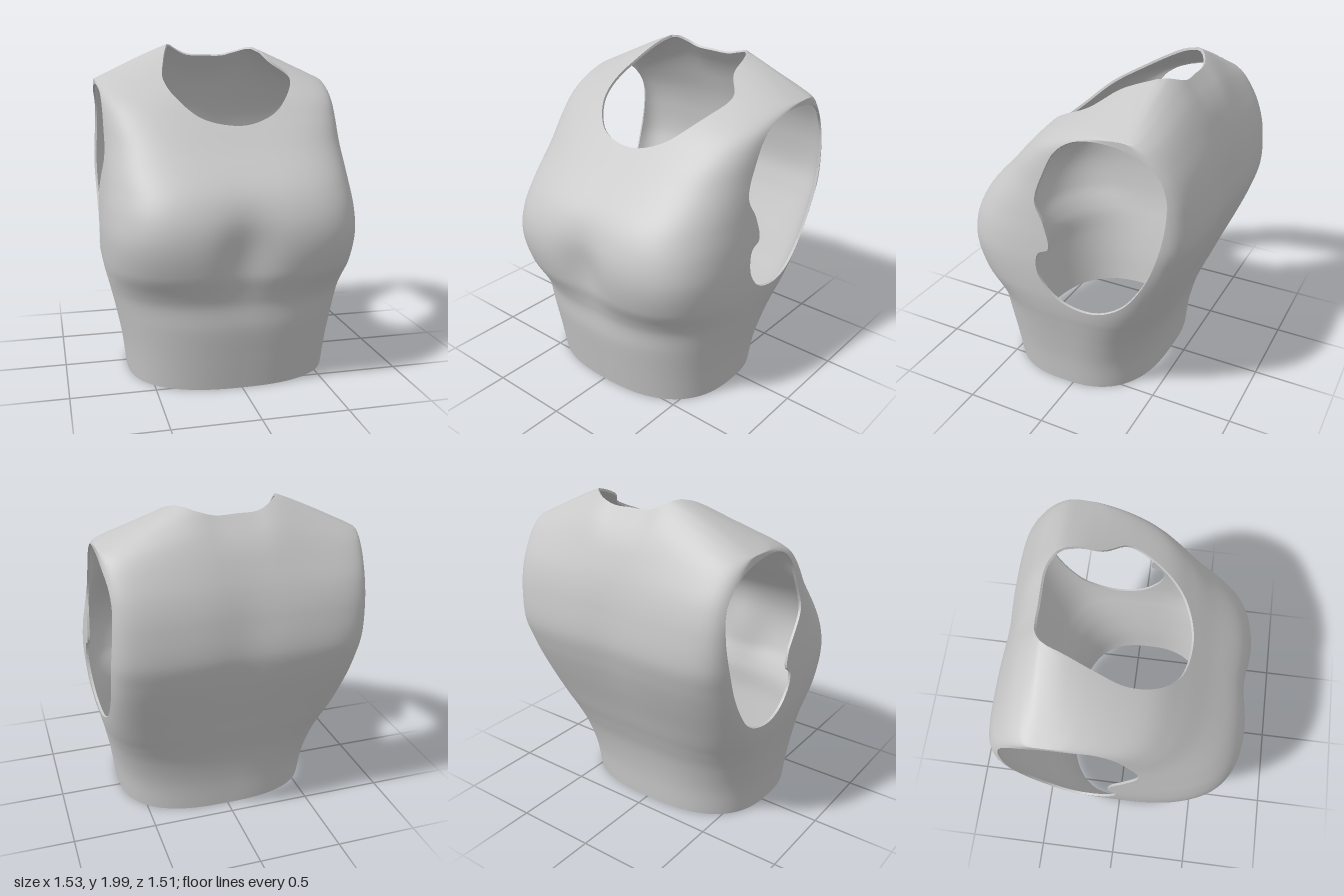
import * as THREE from 'three';
import { mergeVertices } from 'three/addons/utils/BufferGeometryUtils.js';

// Cross-sections: height, half width, front z, back z, middle z, front and back squareness, shoulder drop
const SECTIONS = [
  [0.00, 0.62, 0.58, -0.41, 0.08, 2.5, 2.7, 0],
  [0.20, 0.645, 0.615, -0.425, 0.08, 2.5, 2.9, 0],
  [0.38, 0.68, 0.645, -0.46, 0.07, 2.5, 3.3, 0],
  [0.52, 0.713, 0.655, -0.51, 0.05, 2.6, 3.7, 0],
  [0.60, 0.733, 0.68, -0.543, 0.03, 2.8, 4.0, 0],
  [0.72, 0.753, 0.73, -0.59, 0.00, 3.3, 4.5, 0],
  [0.90, 0.765, 0.76, -0.665, -0.06, 3.8, 5.2, 0],
  [1.05, 0.762, 0.742, -0.72, -0.12, 3.8, 6.0, 0],
  [1.20, 0.755, 0.665, -0.755, -0.20, 3.7, 7.0, 0],
  [1.40, 0.747, 0.475, -0.74, -0.27, 3.9, 8.0, 0],
  [1.55, 0.745, 0.335, -0.705, -0.30, 4.4, 8.0, 0.015],
  [1.70, 0.745, 0.185, -0.645, -0.33, 5.2, 8.0, 0.06],
  [1.84, 0.745, -0.015, -0.575, -0.36, 6.5, 7.5, 0.12],
  [1.94, 0.745, -0.175, -0.505, -0.38, 7.0, 7.0, 0.18],
  [2.00, 0.745, -0.29, -0.45, -0.39, 7.0, 7.0, 0.23],
  [2.02, 0.745, -0.355, -0.42, -0.395, 7.0, 7.0, 0.25],
  [2.025, 0.745, -0.395, -0.395, -0.395, 7.0, 7.0, 0.253],
];
const TOP = 2.025, AROUND = 160, ROWS = 110, THICK = 0.015;

// Smooth interpolation of one column of the section table
function section(y, col) {
  const s = SECTIONS, last = s.length - 1;
  let i = 0;
  while (i < last - 1 && y > s[i + 1][0]) i++;
  const slope = (k) => {
    const a = s[Math.max(k - 1, 0)], b = s[Math.min(k + 1, last)];
    return (b[col] - a[col]) / (b[0] - a[0]);
  };
  const h = s[i + 1][0] - s[i][0], t = (y - s[i][0]) / h, t2 = t * t, t3 = t2 * t;
  return (2 * t3 - 3 * t2 + 1) * s[i][col] + (t3 - 2 * t2 + t) * h * slope(i)
    + (3 * t2 - 2 * t3) * s[i + 1][col] + (t3 - t2) * h * slope(i + 1);
}

// Point on the uncut body: rounded-box ring, dips at bust, spine and nape, sloping shoulders
function bodyPoint(Y, angle) {
  const [w, zf, zb, zc, nf, nb, drop] = [1, 2, 3, 4, 5, 6, 7].map((c) => section(Y, c));
  const c = Math.cos(angle), s = Math.sin(angle), n = s > 0 ? nf : nb;
  const r = Math.pow(Math.abs(c) ** n + Math.abs(s) ** n, -1 / n);
  const x = r * c * w;
  let z = zc + r * s * (s > 0 ? zf - zc : zc - zb);
  if (s > 0) z -= 0.058 * s * Math.exp(-((x / 0.16) ** 2) - ((Y - 0.85) / 0.22) ** 2);
  else z -= 0.02 * s * Math.exp(-((x / 0.18) ** 2) - ((Y - 1.25) / 0.4) ** 2);
  const out = Math.max(0, Math.abs(x) - 0.17) / 0.575;
  const nape = 0.03 * Math.exp(-((x / 0.2) ** 4)) * THREE.MathUtils.smoothstep(Y, 1.7, 1.95);
  return new THREE.Vector3(x, Y - drop * out ** 1.15 - nape, z);
}

// Closed smooth outline, and signed distance to it (negative inside)
const outline = (pts) => new THREE.CatmullRomCurve3(
  pts.map(([a, b]) => new THREE.Vector3(a, b, 0)), true, 'centripetal').getPoints(90);
function distance(poly, px, py) {
  let d = Infinity, inside = false;
  for (let i = 0; i < poly.length - 1; i++) {
    const a = poly[i], b = poly[i + 1], ex = b.x - a.x, ey = b.y - a.y;
    const t = THREE.MathUtils.clamp(((px - a.x) * ex + (py - a.y) * ey) / (ex * ex + ey * ey || 1), 0, 1);
    d = Math.min(d, Math.hypot(px - a.x - t * ex, py - a.y - t * ey));
    if ((a.y > py) !== (b.y > py) && px < a.x + ((py - a.y) / ey) * ex) inside = !inside;
  }
  return inside ? -d : d;
}

// Neck opening in (x, z); armholes in (z, y), each with its own front lip
const NECK = outline([[0, -0.49], [0.2, -0.485], [0.3, -0.42], [0.345, -0.32], [0.37, -0.19],
  [0.465, -0.06], [0.42, 0.1], [0.3, 0.27], [0.15, 0.345], [0, 0.36], [-0.2, 0.31],
  [-0.32, 0.18], [-0.36, 0.02], [-0.33, -0.15], [-0.29, -0.3], [-0.25, -0.42], [-0.17, -0.48]]);
const ARM_BACK = [[-0.38, 0.75], [-0.5, 0.9], [-0.59, 1.1], [-0.645, 1.35], [-0.63, 1.55],
  [-0.52, 1.69], [-0.3, 1.745], [-0.12, 1.72], [0, 1.64], [0.08, 1.5], [0.14, 1.32]];
const ARM_LEFT = outline([...ARM_BACK, [0.08, 1.19], [0.05, 1.04], [0.12, 1.0], [0.125, 0.86], [0, 0.71], [-0.2, 0.67]]);
const ARM_RIGHT = outline([...ARM_BACK, [0.06, 1.2], [-0.02, 1.1], [-0.04, 1.0], [0, 0.96], [0, 0.88], [-0.08, 0.76], [-0.2, 0.71]]);

// Positive where there is cloth; high up the armhole only trims the outermost side
function cloth(p) {
  const neck = Math.max(distance(NECK, p.x, p.z), 1.4 - p.y);
  const reach = 0.5 + 0.2 * THREE.MathUtils.smoothstep(p.y, 1.2, 1.6);
  const arm = Math.max(distance(p.x > 0 ? ARM_LEFT : ARM_RIGHT, p.z, p.y), reach - Math.abs(p.x));
  return Math.min(neck, arm);
}

// Body grid with the openings trimmed away along their outlines
function trimmedBody() {
  const grid = [];
  for (let j = 0; j <= ROWS; j++) {
    const row = [], t = j / ROWS;
    const Y = TOP * (t + 0.35 * t * (1 - t)); // rows tighten towards the shoulders
    for (let i = 0; i < AROUND; i++) {
      const p = bodyPoint(Y, (i / AROUND) * Math.PI * 2);
      row.push({ p, f: cloth(p) });
    }
    grid.push(row);
  }
  const out = [];
  const addTriangle = (tri) => {
    const poly = [];
    tri.forEach((a, k) => {
      const b = tri[(k + 1) % 3];
      if (a.f >= 0) poly.push(a.p);
      if ((a.f >= 0) !== (b.f >= 0)) poly.push(a.p.clone().lerp(b.p, a.f / (a.f - b.f)));
    });
    for (let k = 1; k + 1 < poly.length; k++)
      for (const p of [poly[0], poly[k], poly[k + 1]]) out.push(p.x, p.y, p.z);
  };
  for (let j = 0; j < ROWS; j++) for (let i = 0; i < AROUND; i++) {
    const n = (i + 1) % AROUND;
    const a = grid[j][i], b = grid[j][n], c = grid[j + 1][i], d = grid[j + 1][n];
    addTriangle([a, c, b]);
    addTriangle([b, c, d]);
  }
  let geo = new THREE.BufferGeometry();
  geo.setAttribute('position', new THREE.Float32BufferAttribute(out, 3));
  geo = mergeVertices(geo, 1e-4);
  const src = geo.index.array, index = [];
  for (let k = 0; k < src.length; k += 3) {
    const [a, b, c] = [src[k], src[k + 1], src[k + 2]];
    if (a !== b && b !== c && c !== a) index.push(a, b, c);
  }
  geo.setIndex(index);
  geo.computeVertexNormals();
  return geo;
}

// Inner face: the outer one pushed inward and turned around
function liningOf(outer) {
  const geo = outer.clone(), p = geo.attributes.position, n = geo.attributes.normal;
  for (let i = 0; i < p.count; i++) {
    p.setXYZ(i, p.getX(i) - n.getX(i) * THICK, p.getY(i) - n.getY(i) * THICK, p.getZ(i) - n.getZ(i) * THICK);
    n.setXYZ(i, -n.getX(i), -n.getY(i), -n.getZ(i));
  }
  geo.setIndex(Array.from(outer.index.array).reverse());
  return geo;
}

// Narrow band joining both faces along every open edge
function edgeBand(outer, inner) {
  const idx = outer.index.array, edges = new Map(), out = [];
  for (let k = 0; k < idx.length; k += 3) for (let e = 0; e < 3; e++) {
    const a = idx[k + e], b = idx[k + ((e + 1) % 3)];
    if (!edges.delete(`${b}_${a}`)) edges.set(`${a}_${b}`, [a, b]);
  }
  const put = (g, i) => out.push(g.attributes.position.getX(i), g.attributes.position.getY(i), g.attributes.position.getZ(i));
  for (const [a, b] of edges.values()) {
    put(outer, b); put(outer, a); put(inner, a);
    put(outer, b); put(inner, a); put(inner, b);
  }
  let geo = new THREE.BufferGeometry();
  geo.setAttribute('position', new THREE.Float32BufferAttribute(out, 3));
  geo = mergeVertices(geo, 1e-5);
  geo.computeVertexNormals();
  return geo;
}

export function createModel() {
  const group = new THREE.Group();
  group.name = 'sleevelessTop';
  const fabric = new THREE.MeshStandardMaterial({ color: 0xc8c8c8, side: THREE.DoubleSide });
  fabric.name = 'greyFabric';
  const outer = trimmedBody(), inner = liningOf(outer);
  const parts = { outerCloth: outer, innerLining: inner, openingEdges: edgeBand(outer, inner) };
  for (const [name, geo] of Object.entries(parts)) {
    const mesh = new THREE.Mesh(geo, fabric);
    mesh.name = name;
    group.add(mesh);
  }
  return group;
}
